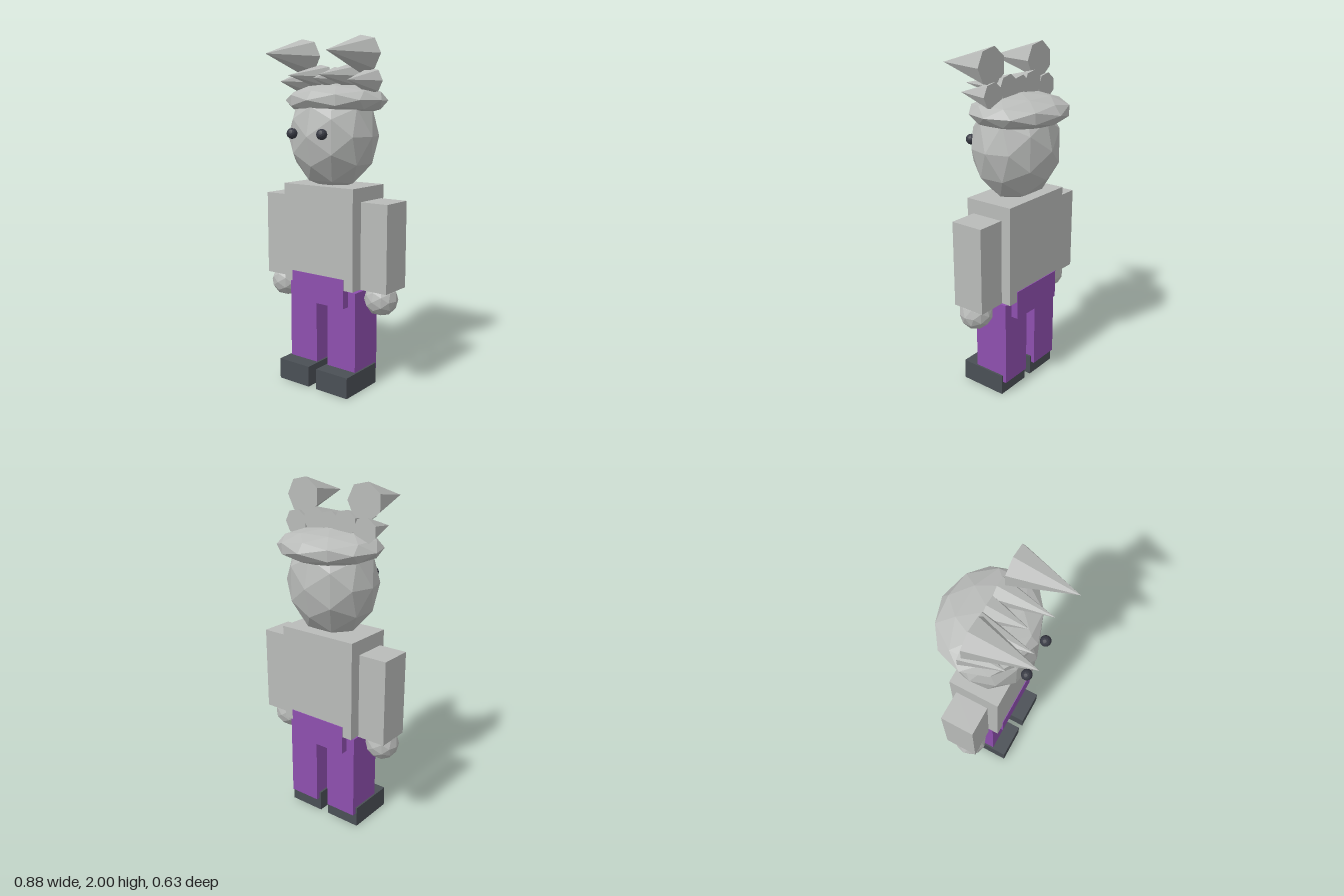
import * as THREE from 'three';

export function createModel() {
  const model = new THREE.Group();
  const mat = (name, color) => {
    const m = new THREE.MeshStandardMaterial({ color, flatShading: true });
    m.name = name;
    return m;
  };
  const grey = mat('stone grey', 0xb9bbb9);
  const purple = mat('purple cloth', 0x8e4fae);
  const dark = mat('dark boot', 0x4a4f55);
  const black = mat('eye black', 0x383a44);

  const add = (name, geometry, material) => {
    const mesh = new THREE.Mesh(geometry, material);
    mesh.name = name;
    model.add(mesh);
    return mesh;
  };
  // box given by its limits on each axis
  const box = (name, material, [x0, x1], [y0, y1], [z0, z1]) =>
    add(name, new THREE.BoxGeometry(x1 - x0, y1 - y0, z1 - z0), material)
      .position.set((x0 + x1) / 2, (y0 + y1) / 2, (z0 + z1) / 2);
  // faceted ellipsoid
  const ball = (name, material, pos, radii, detail = 1) => {
    const g = new THREE.IcosahedronGeometry(1, detail).scale(...radii);
    add(name, g, material).position.set(...pos);
  };
  // seven-sided spike pointing forward from zBase to zTip
  const spike = (name, x, y, r, zBase, zTip) => {
    const g = new THREE.ConeGeometry(r, zTip - zBase, 7)
      .rotateY(Math.PI / 2).rotateX(Math.PI / 2).scale(1, 0.95, 1);
    add(name, g, grey).position.set(x, y, (zBase + zTip) / 2);
  };

  // body
  box('torso', grey, [-0.245, 0.245], [0.605, 1.18], [-0.174, 0.127]);
  box('hips', purple, [-0.185, 0.185], [0.5, 0.668], [-0.179, 0.131]);

  // head and cap
  ball('head', grey, [0, 1.455, -0.023], [0.267, 0.31, 0.244]);
  ball('cap', grey, [0, 1.652, -0.05], [0.306, 0.097, 0.267]);

  // limbs, eyes and hair, mirrored
  for (const s of [-1, 1]) {
    const side = s > 0 ? 'left' : 'right';
    const span = (a, b) => (s > 0 ? [a, b] : [-b, -a]);
    box(side + 'Arm', grey, span(0.26, 0.43), [0.612, 1.105], [-0.126, 0.071]);
    ball(side + 'Hand', grey, [s * 0.346, 0.557, -0.01], [0.096, 0.096, 0.096]);
    box(side + 'Leg', purple, span(0.04, 0.236), [0.08, 0.588], [-0.134, 0.086]);
    box(side + 'Boot', dark, span(0.028, 0.247), [0, 0.122], [-0.112, 0.178]);
    ball(side + 'Eye', black, [s * 0.104, 1.472, 0.217], [0.03, 0.03, 0.03], 2);
    spike(side + 'TopSpike', s * 0.206, 1.9, 0.109, -0.026, 0.312);
    spike(side + 'InnerSpike', s * 0.104, 1.785, 0.075, -0.057, 0.244);
    spike(side + 'OuterSpike', s * 0.232, 1.757, 0.076, -0.057, 0.165);
  }
  spike('middleSpike', 0, 1.77, 0.075, -0.057, 0.163);

  return model;
}
